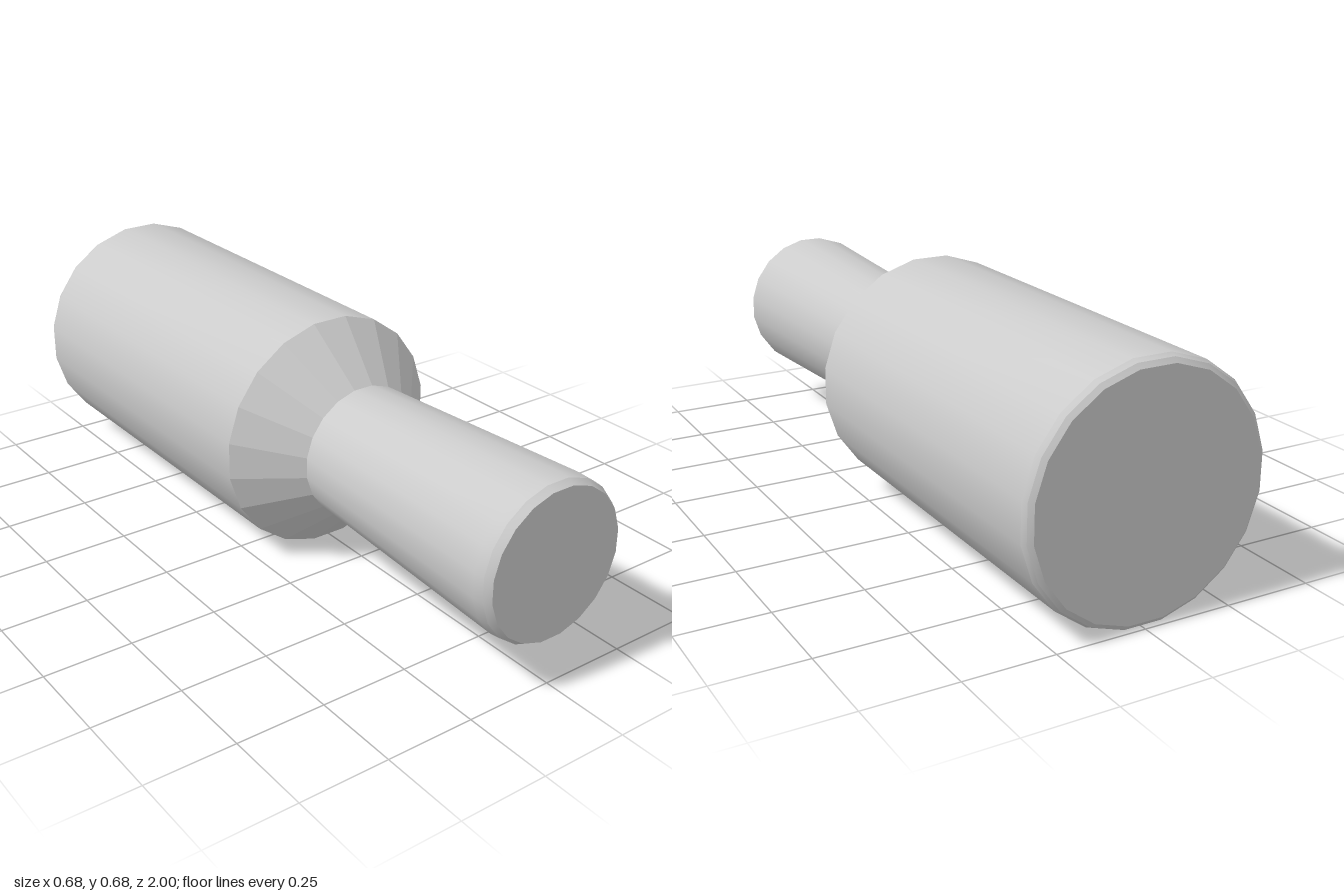
import * as THREE from 'three';
import { toCreasedNormals } from 'three/addons/utils/BufferGeometryUtils.js';

const SIDES = 20;
const AXIS_HEIGHT = 0.338;

// Turned part along z from [radius, z] points, with a flat facet at the bottom
function turned(name, profile, creaseAngle) {
  const points = profile.map(([r, z]) => new THREE.Vector2(r, z));
  const lathe = new THREE.LatheGeometry(points, SIDES, Math.PI / SIDES);
  lathe.rotateX(Math.PI / 2);
  const material = new THREE.MeshStandardMaterial({ color: 0xcccccc, side: THREE.DoubleSide });
  const mesh = new THREE.Mesh(toCreasedNormals(lathe, creaseAngle), material);
  mesh.name = name;
  mesh.position.y = AXIS_HEIGHT;
  return mesh;
}

export function createModel() {
  const group = new THREE.Group();
  group.name = 'steppedHandle';
  group.add(
    // Wide cylinder with a slightly bevelled, closed back end
    turned('body', [[0, -1], [0.322, -1], [0.335, -0.99], [0.342, -0.975], [0.342, 0.09]], 0.4),
    // Faceted cone stepping down to the grip
    turned('shoulder', [[0.342, 0.09], [0.191, 0.245]], 0.1),
    // Grip that widens towards its rounded, closed front end
    turned('grip', [[0.191, 0.245], [0.222, 0.95], [0.219, 0.98], [0.207, 1], [0, 1]], 0.4),
  );
  return group;
}
